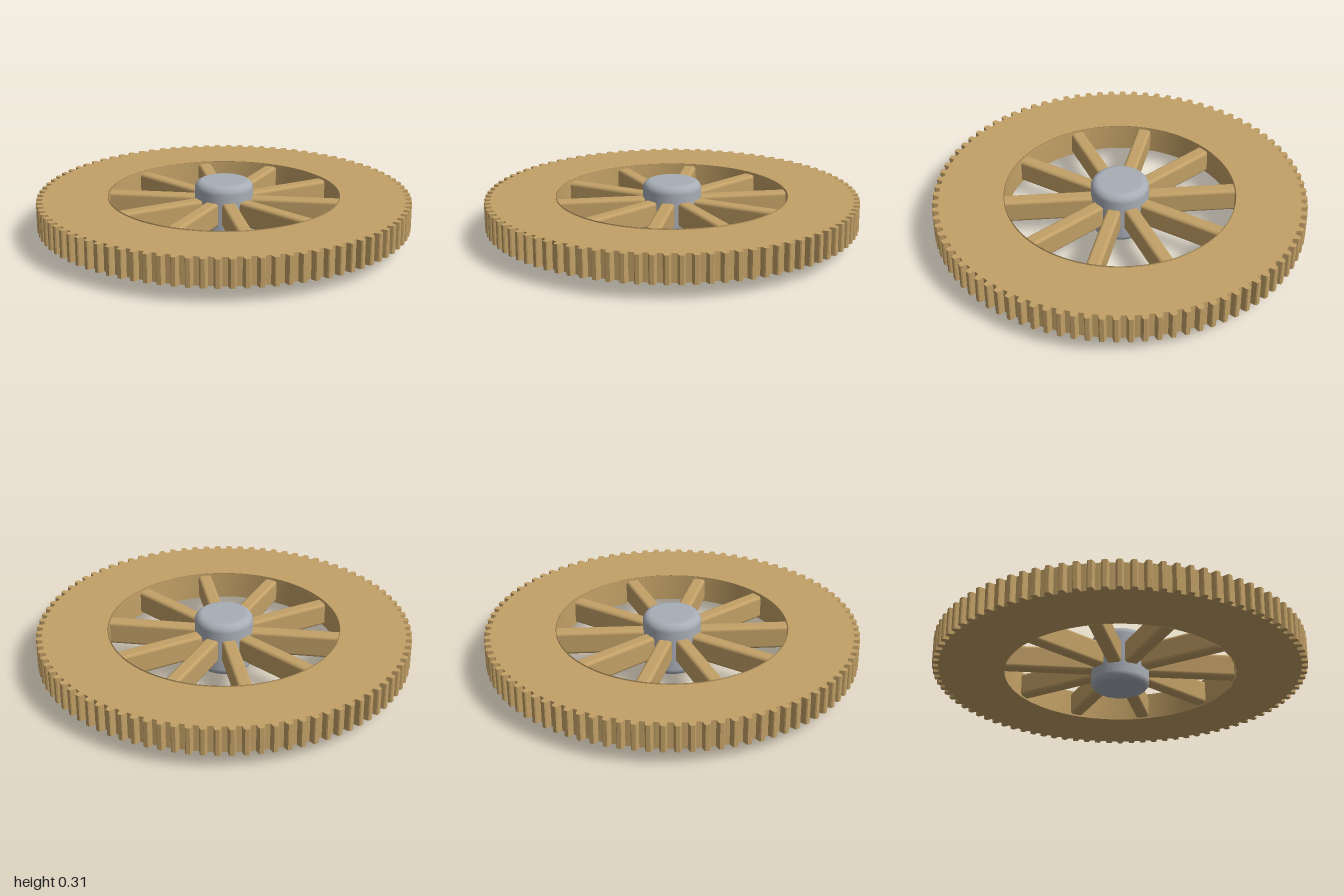
import * as THREE from 'three';
import { RoundedBoxGeometry } from 'three/addons/geometries/RoundedBoxGeometry.js';

const TEETH = 90, SPOKES = 10;
const TIP = 1.0, ROOT = 0.967, HOLE = 0.62;
const RIM_BOTTOM = 0.08, RIM_TOP = 0.226, MID = 0.154;

function material(name, color) {
  const m = new THREE.MeshStandardMaterial({ color });
  m.name = name;
  return m;
}

function addMesh(parent, name, geometry, mat) {
  const mesh = new THREE.Mesh(geometry, mat);
  mesh.name = name;
  parent.add(mesh);
  return mesh;
}

// Toothed outline with a round hole
function rimShape() {
  const step = (Math.PI * 2) / TEETH;
  const profile = [[-0.5, ROOT], [-0.3, ROOT], [-0.21, TIP - 0.006], [-0.14, TIP],
    [0.14, TIP], [0.21, TIP - 0.006], [0.3, ROOT]];
  const points = [];
  for (let i = 0; i < TEETH; i++) {
    for (const [t, r] of profile) {
      const a = (i + t) * step;
      points.push(new THREE.Vector2(Math.cos(a) * r, Math.sin(a) * r));
    }
  }
  const shape = new THREE.Shape(points);
  shape.holes.push(new THREE.Path().absarc(0, 0, HOLE, 0, Math.PI * 2, true));
  return shape;
}

// Cylinder profile with rounded top and bottom edges
function hubProfile(radius, height, bevel) {
  const points = [new THREE.Vector2(0, 0)];
  for (let i = 0; i <= 6; i++) {
    const a = (i / 6) * Math.PI / 2;
    points.push(new THREE.Vector2(radius - bevel + Math.sin(a) * bevel, bevel - Math.cos(a) * bevel));
  }
  for (let i = 0; i <= 6; i++) {
    const a = (i / 6) * Math.PI / 2;
    points.push(new THREE.Vector2(radius - bevel + Math.cos(a) * bevel, height - bevel + Math.sin(a) * bevel));
  }
  points.push(new THREE.Vector2(0, height));
  return points;
}

export function createModel() {
  const wheel = new THREE.Group();
  wheel.name = 'gearWheel';
  const wood = material('wood', 0xc2a066);
  const steel = material('steel', 0xa8aeb6);

  // Toothed rim
  const rimGeometry = new THREE.ExtrudeGeometry(rimShape(), {
    depth: RIM_TOP - RIM_BOTTOM, bevelEnabled: false, curveSegments: 48,
  });
  rimGeometry.rotateX(-Math.PI / 2);
  addMesh(wheel, 'toothedRim', rimGeometry, wood).position.y = RIM_BOTTOM;

  // Thin lining of the hole, standing just proud of the rim
  const lining = [[HOLE - 0.002, RIM_BOTTOM], [HOLE + 0.002, RIM_BOTTOM],
    [HOLE + 0.002, RIM_TOP + 0.005], [HOLE - 0.002, RIM_TOP + 0.005], [HOLE - 0.002, RIM_BOTTOM]]
    .map(([r, y]) => new THREE.Vector2(r, y));
  addMesh(wheel, 'rimLining', new THREE.LatheGeometry(lining, 96), wood);

  // Rounded spokes from the hub to the rim
  const inner = 0.08, outer = HOLE + 0.02;
  const spokeGeometry = new RoundedBoxGeometry(outer - inner, 0.13, 0.076, 4, 0.018);
  spokeGeometry.translate((inner + outer) / 2, MID, 0);
  for (let i = 0; i < SPOKES; i++) {
    addMesh(wheel, 'spoke', spokeGeometry, wood).rotation.y = (i / SPOKES) * Math.PI * 2;
  }

  // Hub
  addMesh(wheel, 'hub', new THREE.LatheGeometry(hubProfile(0.156, 0.306, 0.042), 64), steel);

  return wheel;
}
